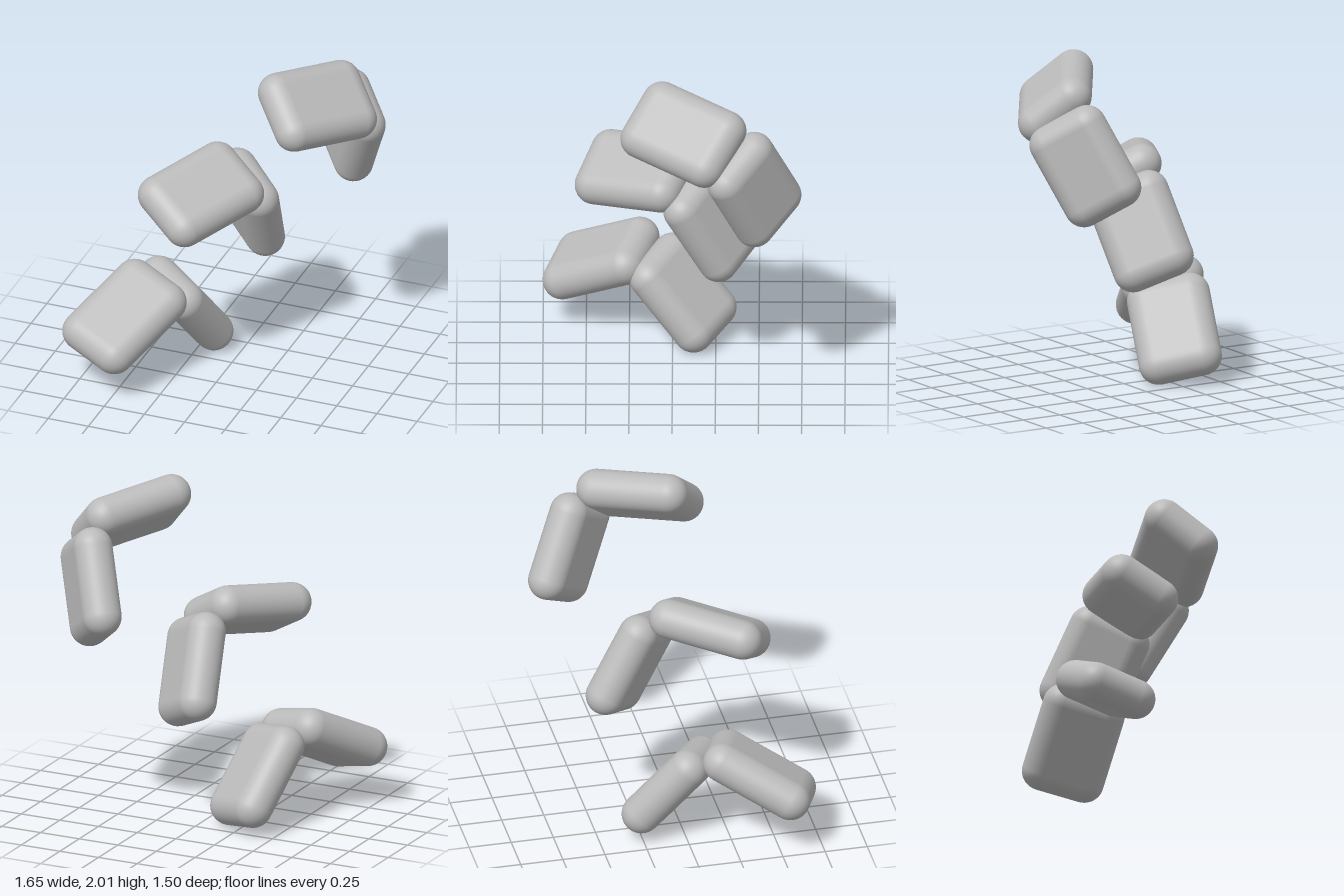
import * as THREE from 'three';
import { RoundedBoxGeometry } from 'three/addons/geometries/RoundedBoxGeometry.js';

const THICKNESS = 0.23;
const WIDTH = 0.487;

// One pebble-edged slab, placed by its centre, long direction and wide direction
function slab(name, length, material, centre, long, wide) {
  const geometry = new RoundedBoxGeometry(length, WIDTH, THICKNESS, 6, THICKNESS / 2);
  const mesh = new THREE.Mesh(geometry, material);
  const x = new THREE.Vector3(...long).normalize();
  const z = new THREE.Vector3().crossVectors(x, new THREE.Vector3(...wide)).normalize();
  const y = new THREE.Vector3().crossVectors(z, x);
  mesh.quaternion.setFromRotationMatrix(new THREE.Matrix4().makeBasis(x, y, z));
  mesh.position.set(...centre);
  mesh.name = name;
  return mesh;
}

// Each bent pair: a forward-reaching slab resting on a leaning one
const PAIRS = [
  {
    name: 'lowerPair',
    reach: [[-0.505, 0.42, 0.415], [-0.19, -0.20, 0.37], [0.24, -0.06, 0.08]],
    lean: [[-0.308, 0.30, -0.06], [0.08, -0.32, -0.26], [0.225, -0.06, 0.14]],
  },
  {
    name: 'middlePair',
    reach: [[-0.11, 1.207, 0.21], [-0.22, -0.065, 0.39], [0.213, -0.125, 0.09]],
    lean: [[0.028, 0.952, -0.233], [-0.045, -0.37, -0.21], [0.19, -0.085, 0.145]],
  },
  {
    name: 'upperPair',
    reach: [[0.506, 1.779, -0.065], [-0.24, 0.06, 0.367], [0.155, -0.163, 0.12]],
    lean: [[0.56, 1.448, -0.475], [-0.14, -0.36, -0.16], [0.16, -0.125, 0.16]],
  },
];

export function createModel() {
  const grey = new THREE.MeshStandardMaterial({ color: 0xbbbbbb });
  grey.name = 'grey';

  const model = new THREE.Group();
  model.name = 'slabPairs';
  for (const { name, reach, lean } of PAIRS) {
    const pair = new THREE.Group();
    pair.name = name;
    pair.add(slab('reachingSlab', 0.68, grey, ...reach));
    pair.add(slab('leaningSlab', 0.645, grey, ...lean));
    model.add(pair);
  }
  return model;
}
